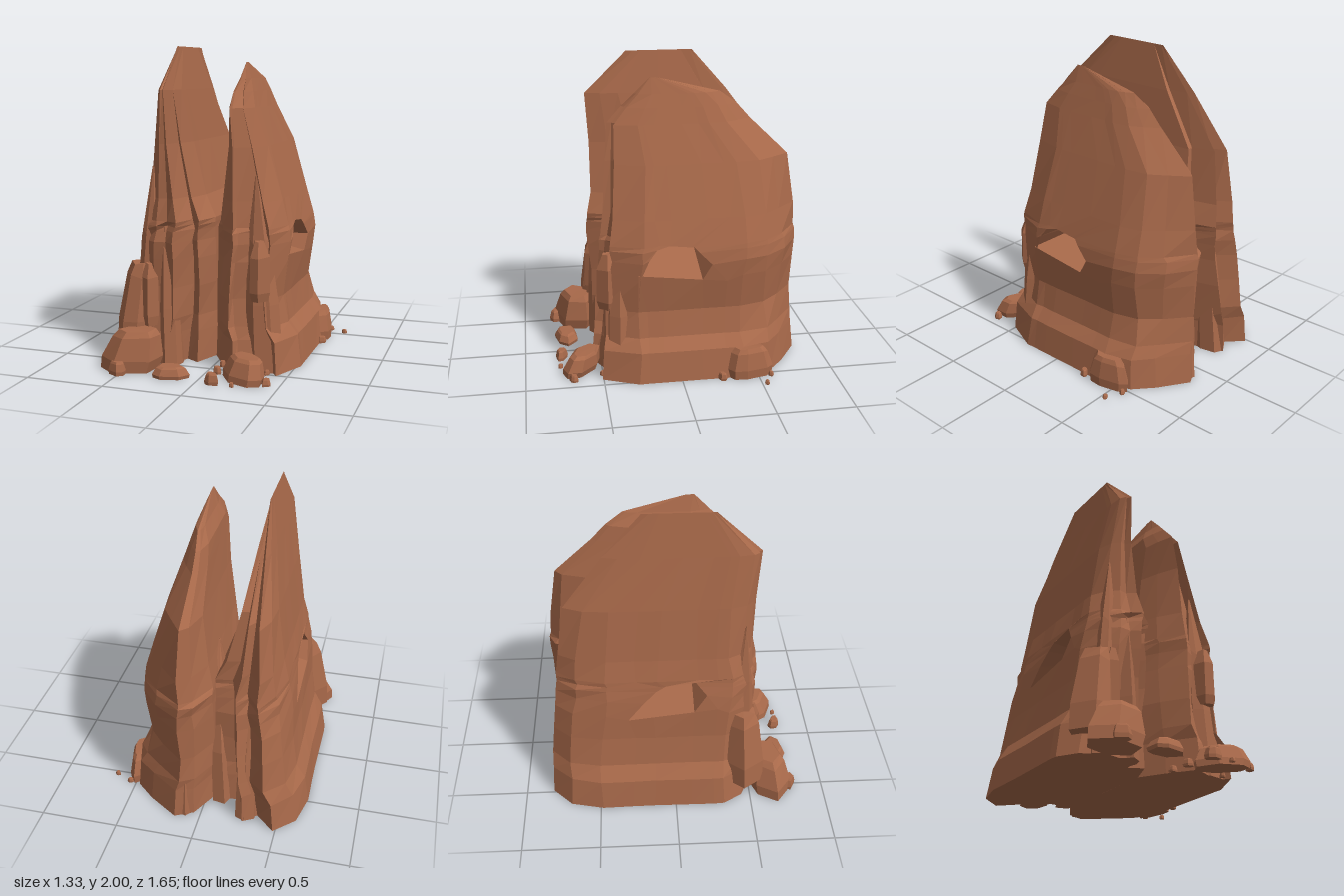
import * as THREE from 'three';

const material = new THREE.MeshStandardMaterial({ color: 0xa8694a, flatShading: true, roughness: 1 });

let seed = 7;
function rand() {
  seed = (seed * 16807) % 2147483647;
  return seed / 2147483647 - 0.5;
}

// Skins a stack of equal-length rings (listed bottom to top) and closes both ends.
// open(k, i) leaves out the face above ring k between points i and i + 1.
function loft(name, rings, open = () => false) {
  const n = rings[0].length, pos = [], idx = [];
  rings.forEach(r => r.forEach(p => pos.push(...p)));
  for (let k = 0; k < rings.length - 1; k++) {
    for (let i = 0; i < n; i++) {
      const a = k * n + i, b = k * n + (i + 1) % n;
      if (!open(k, i)) idx.push(a, a + n, b, b, a + n, b + n);
    }
  }
  [0, rings.length - 1].forEach((k, end) => {
    const c = pos.length / 3, mid = [0, 0, 0];
    rings[k].forEach(p => p.forEach((v, j) => { mid[j] += v / n; }));
    pos.push(...mid);
    for (let i = 0; i < n; i++) {
      const a = k * n + i, b = k * n + (i + 1) % n;
      if (end) idx.push(c, b, a); else idx.push(c, a, b);
    }
  });
  const g = new THREE.BufferGeometry();
  g.setAttribute('position', new THREE.Float32BufferAttribute(pos, 3));
  g.setIndex(idx);
  g.computeVertexNormals();
  const mesh = new THREE.Mesh(g, material);
  mesh.name = name;
  return mesh;
}

// Tunnel levels: z of the jambs and mouth corners, back to front; deep levels run to the saddle
const SADDLE_X = -0.05;
const LIP = { z: [-0.3, -0.14, 0.12, 0.27] };
const FLOOR = { z: [-0.2, -0.15, 0.12, 0.2], deep: true };
const ROOF = { z: [-0.12, -0.08, 0.08, 0.15], deep: true };
const CROWN = { z: [-0.09, -0.06, 0.07, 0.13] };

// Fin: a plan outline (u across, v back to front) fitted to each level's box.
// plan: [u, v, tunnel corner index]; rows: [y, xLeft, xRight, zBack, zFront, tunnel level]
function fin(name, plan, rows) {
  const wobble = plan.map(() => [0, 0]);
  const isMouth = i => [1, 2].includes(plan[i % plan.length][2]);
  const rings = rows.map(([y, x0, x1, z0, z1, tunnel]) => plan.map(([u, v, corner], i) => {
    const x = x0 + (x1 - x0) * u;
    if (tunnel && corner !== undefined) {
      const z = tunnel.z[corner];
      return [tunnel.deep && isMouth(i) ? SADDLE_X : x, y + 0.12 * z, z];
    }
    const w = Math.min(1, (x1 - x0) * 2.5);
    wobble[i] = [wobble[i][0] * 0.5 + rand() * 0.02, wobble[i][1] * 0.5 + rand() * 0.03];
    const edge = u === 0 || u === 1 ? 0.3 : 1;
    return [
      x + wobble[i][0] * w * edge,
      y,
      z0 + (z1 - z0) * v + (v > 0 && v < 1 ? wobble[i][1] * w : 0),
    ];
  }));
  return loft(name, rings, (k, i) =>
    rows[k][5]?.deep && rows[k + 1][5]?.deep && isMouth(i) && isMouth(i + 1));
}

// Boulder or shard: profile lists [height fraction, radius fraction], lean shifts the top.
const BOULDER = [[0, 0.95], [0.3, 1], [0.85, 0.78], [1, 0.6]];
const SHARD = [[0, 1], [0.35, 0.9], [0.7, 0.6], [1, 0.06]];
const CRYSTAL = [[0, 0.75], [0.15, 0.95], [0.75, 0.9], [1, 0.4]];
function rock(name, x, z, y, h, rx, rz, { turn = 0, sides = 7, profile = BOULDER, lean = [0, 0] } = {}) {
  const spokes = Array.from({ length: sides }, (_, i) => [
    (i + rand() * 0.5) / sides * Math.PI * 2, 1 + rand() * 0.16]);
  const c = Math.cos(turn), s = Math.sin(turn);
  return loft(name, profile.map(([t, r]) => spokes.map(([a, k]) => {
    const px = Math.cos(a) * rx * r * k, pz = Math.sin(a) * rz * r * k;
    return [
      x + px * c - pz * s + lean[0] * t,
      y + h * t + (t > 0.5 ? rand() * 0.08 * h * (t < 1 ? 1 : 0.3) : 0),
      z + px * s + pz * c + lean[1] * t,
    ];
  })));
}

export function createModel() {
  seed = 7;
  const model = new THREE.Group();
  model.name = 'rockFormation';

  // Tall fin with its low inner shoulder, ledge and tunnel mouth
  model.add(fin('tallFin', [
    [0, 0.24], [0.08, 0.1], [0.28, 0], [0.49, 0.08], [0.62, 0.03], [0.74, 0.17], [1, 0.17],
    [1, 0.5, 1], [1, 0.69, 2], [1, 0.77], [0.87, 0.9], [0.76, 0.87], [0.62, 1], [0.5, 0.97], [0.35, 0.98],
    [0.13, 0.94], [0, 0.85], [0, 0.8, 3], [0, 0.69, 2], [0, 0.5, 1], [0, 0.39, 0],
  ], [
    [0, -0.66, -0.05, -0.82, 0.53],
    [0.2, -0.63, -0.05, -0.81, 0.52],
    [0.3, -0.57, -0.05, -0.81, 0.52],
    [0.5, -0.54, -0.05, -0.79, 0.52],
    [0.68, -0.53, -0.05, -0.77, 0.54, LIP],
    [0.79, -0.515, -0.05, -0.76, 0.55, FLOOR],
    [0.86, -0.5, -0.05, -0.75, 0.545, ROOF],
    [0.89, -0.495, -0.05, -0.75, 0.54, CROWN],
    [0.92, -0.49, -0.05, -0.75, 0.54],
    [1.06, -0.46, -0.12, -0.73, 0.51],
    [1.4, -0.41, -0.2, -0.68, 0.51],
    [1.73, -0.35, -0.25, -0.43, 0.53],
    [2, -0.3, -0.3, -0.19, 0.25],
  ]));

  // Shorter fin, undercut on its outer side below the tunnel mouth
  model.add(fin('shortFin', [
    [0, 0.17], [0.17, 0.04], [0.36, 0], [0.69, 0.1], [0.91, 0.18], [1, 0.31],
    [1, 0.39, 0], [1, 0.5, 1], [1, 0.69, 2], [1, 0.76, 3], [1, 0.8],
    [0.84, 0.96], [0.74, 0.91], [0.43, 0.97], [0.38, 1], [0.17, 0.88], [0, 0.77],
    [0, 0.69, 2], [0, 0.5, 1],
  ], [
    [0, -0.05, 0.53, -0.83, 0.56],
    [0.2, -0.05, 0.5, -0.81, 0.54],
    [0.28, -0.05, 0.44, -0.81, 0.53],
    [0.45, -0.05, 0.41, -0.8, 0.52],
    [0.68, -0.05, 0.44, -0.81, 0.5, LIP],
    [0.79, -0.05, 0.45, -0.82, 0.49, FLOOR],
    [0.86, -0.05, 0.44, -0.82, 0.49, ROOF],
    [0.89, -0.045, 0.43, -0.81, 0.48, CROWN],
    [1.05, -0.02, 0.385, -0.8, 0.46],
    [1.38, 0.02, 0.285, -0.75, 0.44],
    [1.62, 0.04, 0.21, -0.5, 0.42],
    [1.72, 0.05, 0.18, -0.41, 0.33],
    [1.8, 0.09, 0.155, -0.3, 0.25],
    [1.9, 0.125, 0.125, 0.1, 0.15],
  ]));

  // Tapering buttresses leaning on the fins: [x, z, height, rx, rz, lean x, lean z]
  [
    [-0.27, 0.44, 1.05, 0.07, 0.1, -0.03, 0.02],
    [-0.44, 0.42, 1.25, 0.1, 0.1, 0.05, 0.02],
    [0.33, 0.4, 1.2, 0.11, 0.1, -0.07, -0.03],
    [-0.1, -0.4, 1.1, 0.08, 0.27, 0.07, 0.05],
    [-0.28, -0.66, 1.2, 0.08, 0.12, 0, 0.12],
    [0.12, -0.7, 1.3, 0.1, 0.12, 0, 0.1],
  ].forEach(([x, z, h, rx, rz, lx, lz]) => model.add(
    rock('buttress', x, z, 0, h, rx, rz, { profile: SHARD, lean: [lx, lz] })));

  // Stacked boulders against the tall fin
  model.add(rock('cornerBoulder', -0.49, 0.64, 0, 0.25, 0.19, 0.14, { turn: -0.25, sides: 6, lean: [0.05, -0.02] }));
  model.add(rock('stackedBoulder', -0.51, 0.46, 0.12, 0.52, 0.14, 0.13, { sides: 6, lean: [0.05, -0.02] }));
  model.add(rock('stackedShard', -0.4, 0.5, 0.25, 0.4, 0.06, 0.06, { sides: 5, profile: CRYSTAL }));

  // Block hanging on the front of the short fin
  model.add(rock('hangingBlock', 0.3, 0.45, 0.45, 0.37, 0.085, 0.08, { sides: 6, profile: CRYSTAL, turn: 0.3 }));

  // Boulders around the foot
  model.add(rock('footBoulder', 0.25, 0.63, 0, 0.14, 0.17, 0.1, { turn: 0.6, lean: [0.02, -0.03] }));
  model.add(rock('footBoulder', -0.18, 0.71, 0, 0.07, 0.12, 0.08, { turn: -0.1 }));
  model.add(rock('sideBoulder', 0.49, -0.43, 0, 0.2, 0.09, 0.16, { sides: 8 }));

  // Loose pebbles: [x, z, radius]
  [
    [-0.51, 0.77, 0.055], [0.1, 0.76, 0.045], [0.07, 0.57, 0.03], [0.42, 0.69, 0.03], [0.23, 0.77, 0.018],
    [0.37, 0.5, 0.02], [0.54, -0.58, 0.02], [0.645, -0.53, 0.018], [0.54, -0.26, 0.03], [0.06, 0.43, 0.025],
  ].forEach(([x, z, r]) => model.add(rock('pebble', x, z, 0, r * 1.5, r * 1.1, r * 0.85, { sides: 6, turn: x * 5 })));

  return model;
}
